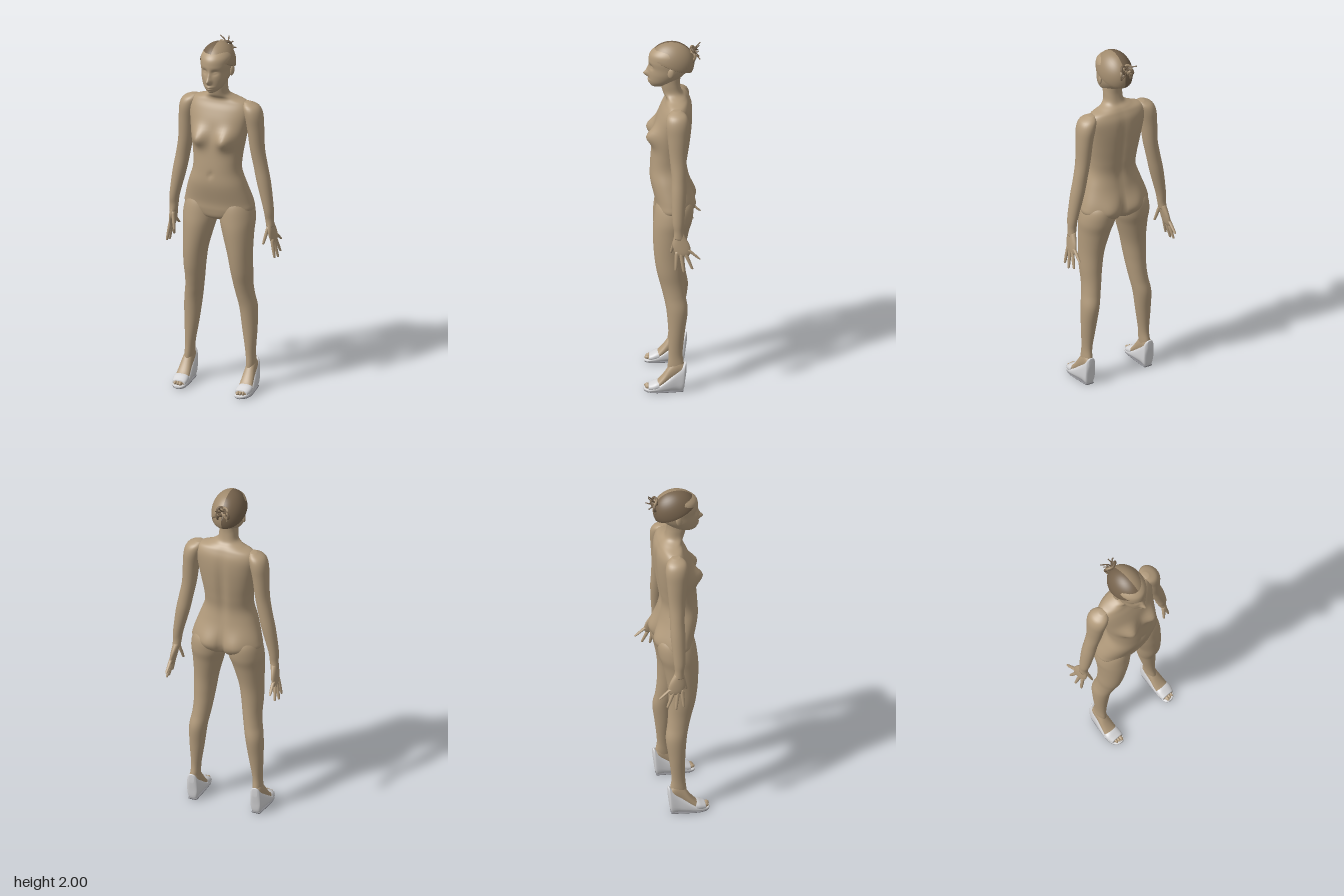
import * as THREE from 'three';

const mat = (name, color, side = THREE.FrontSide) => {
  const m = new THREE.MeshStandardMaterial({ color, side });
  m.name = name;
  return m;
};

// Catmull-Rom subdivision of a list of cross-sections
function refine(rows, sub) {
  const out = [], at = i => rows[Math.max(0, Math.min(rows.length - 1, i))];
  for (let i = 0; i < rows.length - 1; i++) {
    for (let k = 0; k < sub; k++) {
      const t = k / sub;
      out.push(rows[i].map((b, c) => {
        const a = at(i - 1)[c], d = at(i + 1)[c], e = at(i + 2)[c];
        return b + 0.5 * t * (d - a + t * (2 * a - 5 * b + 4 * d - e + t * (3 * (b - d) + e - a)));
      }));
    }
  }
  out.push(rows[rows.length - 1]);
  return out;
}

// Closed loft upward through sections [y, centreX, halfWidth, zBack, zFront]
function loft(rows, { seg = 24, sub = 4, power = 2, bump = null } = {}) {
  const rings = refine(rows, sub), pos = [], idx = [];
  const sp = v => Math.sign(v) * Math.pow(Math.abs(v), 2 / power);
  for (const [y, cx, rx, z0, z1] of rings) {
    for (let j = 0; j < seg; j++) {
      const a = j / seg * Math.PI * 2;
      const x = sp(Math.sin(a)) * rx;
      let z = (z0 + z1) / 2 + sp(Math.cos(a)) * (z1 - z0) / 2;
      if (bump) z += bump(x, y, Math.cos(a));
      pos.push(cx + x, y, z);
    }
  }
  const n = rings.length;
  for (let i = 0; i < n - 1; i++) {
    for (let j = 0; j < seg; j++) {
      const a = i * seg + j, b = i * seg + (j + 1) % seg;
      idx.push(a, b, b + seg, a, b + seg, a + seg);
    }
  }
  for (const [row, r] of [[rings[0], 0], [rings[n - 1], n - 1]]) {
    const c = pos.length / 3;
    pos.push(row[1], row[0], (row[3] + row[4]) / 2);
    for (let j = 0; j < seg; j++) {
      const a = r * seg + j, b = r * seg + (j + 1) % seg;
      if (r) idx.push(a, b, c); else idx.push(b, a, c);
    }
  }
  const g = new THREE.BufferGeometry();
  g.setAttribute('position', new THREE.Float32BufferAttribute(pos, 3));
  g.setIndex(idx);
  g.computeVertexNormals();
  return g;
}

// Loft along z through sections [z, centreX, halfWidth, bottom, top]
const loftZ = (rows, opt) =>
  loft(rows.map(([z, x, r, b, t]) => [z, x, r, -t, -b]), opt).rotateX(Math.PI / 2);

const bell = (x, y, cx, cy, sx, sy) => Math.exp(-(((x - cx) / sx) ** 2) - ((y - cy) / sy) ** 2);

function torsoBump(x, y, front) {
  const ax = Math.abs(x);
  if (front > 0) {
    return front * (0.056 * bell(ax, y, 0.082, 1.47, 0.05, 0.05) - 0.008 * bell(x, y, 0, 1.265, 0.012, 0.018));
  }
  return front * (0.022 * bell(ax, y, 0.085, 1.07, 0.06, 0.07)
    - 0.02 * bell(x, y, 0, 1.05, 0.018, 0.08) - 0.012 * bell(x, y, 0, 1.42, 0.025, 0.2));
}

function faceBump(x, y, front) {
  if (front < 0) return 0;
  const ax = Math.abs(x);
  return 0.026 * bell(x, y, 0, 1.815, 0.013, 0.016) + 0.012 * bell(x, y, 0, 1.84, 0.01, 0.025)
    - 0.012 * bell(ax, y, 0.03, 1.865, 0.016, 0.014) + 0.005 * bell(ax, y, 0.03, 1.862, 0.01, 0.006)
    + 0.009 * bell(x, y, 0, 1.781, 0.02, 0.006) + 0.008 * bell(x, y, 0, 1.768, 0.017, 0.006)
    + 0.004 * bell(x, y, 0, 1.75, 0.02, 0.01);
}

export function createModel() {
  const model = new THREE.Group();
  const skin = mat('skin', 0xb29b7c);
  const hairDark = mat('darkHair', 0x75624c, THREE.DoubleSide);
  const hairLight = mat('lightHair', 0xa08a6d, THREE.DoubleSide);
  const white = mat('shoeWhite', 0xd4d4d6);
  const grey = mat('soleGrey', 0x85858a);
  const add = (name, geo, m, parent = model) => {
    const mesh = new THREE.Mesh(geo, m);
    mesh.name = name;
    parent.add(mesh);
    return mesh;
  };

  // Torso and neck
  add('torso', loft([
    [0.99, 0, 0.05, -0.05, 0.06], [1.01, 0, 0.13, -0.085, 0.085], [1.05, 0, 0.195, -0.108, 0.095],
    [1.1, 0, 0.193, -0.11, 0.1], [1.2, 0, 0.162, -0.088, 0.122], [1.28, 0, 0.136, -0.078, 0.122],
    [1.36, 0, 0.138, -0.088, 0.116], [1.45, 0, 0.152, -0.1, 0.106], [1.55, 0, 0.168, -0.108, 0.088],
    [1.62, 0, 0.175, -0.105, 0.062], [1.662, 0, 0.155, -0.09, 0.04], [1.685, 0, 0.095, -0.075, 0.036],
    [1.71, 0, 0.056, -0.052, 0.052], [1.76, 0, 0.05, -0.042, 0.065], [1.81, 0, 0.05, -0.045, 0.07],
  ], { seg: 72, sub: 6, power: 2.25, bump: torsoBump }), skin);

  // Head with face relief
  add('head', loft([
    [1.742, 0, 0.018, 0.06, 0.108], [1.755, 0, 0.038, 0.015, 0.12], [1.78, 0, 0.058, -0.025, 0.127],
    [1.82, 0, 0.074, -0.07, 0.129], [1.86, 0, 0.081, -0.098, 0.127], [1.9, 0, 0.085, -0.1, 0.13],
    [1.94, 0, 0.08, -0.085, 0.12], [1.972, 0, 0.055, -0.05, 0.08], [1.985, 0, 0.02, 0, 0.03],
  ], { seg: 96, sub: 10, bump: faceBump }).translate(-0.005, 0, 0), skin);
  for (const s of [-1, 1]) {
    const ear = add('ear', new THREE.SphereGeometry(1, 14, 10), skin);
    ear.scale.set(0.009, 0.03, 0.018);
    ear.position.set(-0.005 + s * 0.084, 1.852, 0.008);
    ear.rotation.set(-0.2, s * -0.3, 0);
  }

  // Hair cap, parted down the middle
  for (const [name, start, m] of [['hairRight', -Math.PI / 2, hairDark], ['hairLeft', Math.PI / 2, hairLight]]) {
    const cap = new THREE.SphereGeometry(1, 28, 24, start, Math.PI, 0, Math.PI);
    const p = cap.attributes.position;
    // flatten everything below a tilted hairline up to the rim
    for (let i = 0; i < p.count; i++) {
      if (p.getY(i) < 0) p.setXYZ(i, p.getX(i) * 0.98, p.getY(i) * 0.12, p.getZ(i) * 0.98);
    }
    cap.rotateX(-0.42).scale(0.094, 0.12, 0.125).translate(-0.006, 1.88, 0.006);
    cap.computeVertexNormals();
    add(name, cap, m);
  }

  // Bun of loops with loose strands
  const bun = new THREE.Group();
  bun.name = 'hairBun';
  model.add(bun);
  for (let i = 0; i < 6; i++) {
    const a = i / 6 * Math.PI * 2;
    const loop = add('bunLoop', new THREE.TorusGeometry(0.02, 0.007, 8, 18), i % 2 ? hairDark : hairLight, bun);
    loop.position.set(-0.012 + 0.022 * Math.cos(a), 1.925 + 0.025 * Math.sin(a), -0.11);
    loop.rotation.set(0.5 * Math.sin(a), 0.7 * Math.cos(a), a);
    const reach = 0.035 + 0.012 * (i % 3);
    const path = new THREE.CatmullRomCurve3([
      new THREE.Vector3(-0.012, 1.93, -0.1),
      new THREE.Vector3(-0.012 + 0.02 * Math.cos(a), 1.945 + 0.02 * Math.sin(a), -0.125),
      new THREE.Vector3(-0.012 + reach * Math.cos(a + 0.4), 1.945 + 0.8 * reach * Math.sin(a + 0.4), -0.14 - 0.005 * (i % 3)),
    ]);
    add('looseStrand', new THREE.TubeGeometry(path, 10, 0.0035, 5), hairDark, bun);
  }

  for (const s of [-1, 1]) {
    const side = s < 0 ? 'right' : 'left';
    const flip = rows => rows.map(([y, x, ...rest]) => [y, s * x, ...rest]);

    // Arm, palm and fingers
    add(side + 'Arm', loft(flip([
      [0.96, 0.286, 0.021, -0.066, -0.008], [1.0, 0.282, 0.024, -0.06, -0.01], [1.06, 0.277, 0.028, -0.065, 0],
      [1.2, 0.25, 0.038, -0.075, 0.005], [1.3, 0.23, 0.039, -0.075, 0.005], [1.4, 0.212, 0.04, -0.077, 0.014],
      [1.52, 0.202, 0.045, -0.085, 0.026], [1.6, 0.191, 0.05, -0.09, 0.035], [1.645, 0.176, 0.044, -0.078, 0.026],
      [1.668, 0.155, 0.018, -0.045, -0.005],
    ]), { seg: 28, sub: 5 }), skin);
    add(side + 'Palm', loft(flip([
      [0.865, 0.3, 0.01, -0.09, -0.022], [0.885, 0.298, 0.014, -0.1, -0.012],
      [0.93, 0.292, 0.017, -0.092, -0.002], [0.985, 0.283, 0.02, -0.06, -0.012],
    ]), { seg: 20 }), skin);
    // tip x, y, z then base x, y, z
    for (const [tx, ty, tz, bx, by, bz] of [
      [0.318, 0.785, -0.018, 0.3, 0.89, -0.025], [0.32, 0.775, -0.062, 0.3, 0.885, -0.046],
      [0.314, 0.792, -0.108, 0.3, 0.885, -0.068], [0.301, 0.845, -0.148, 0.298, 0.9, -0.085],
      [0.263, 0.865, 0.008, 0.282, 0.96, -0.018],
    ]) {
      const row = (t, r) => {
        const z = bz + (tz - bz) * t;
        return [by + (ty - by) * t, s * (bx + (tx - bx) * t), r, z - r * 1.1, z + r * 1.1];
      };
      add(side + 'Finger', loft([row(1, 0.003), row(0.95, 0.0065), row(0.5, 0.009), row(0, 0.01)], { seg: 10, sub: 3 }), skin);
    }

    // Leg
    add(side + 'Leg', loft(flip([
      [0.09, 0.184, 0.024, -0.06, 0.03], [0.15, 0.182, 0.026, -0.064, 0.026], [0.22, 0.178, 0.027, -0.055, 0.02],
      [0.35, 0.171, 0.041, -0.068, 0.022], [0.47, 0.163, 0.049, -0.083, 0.032], [0.55, 0.15, 0.05, -0.072, 0.048],
      [0.62, 0.142, 0.053, -0.065, 0.066], [0.7, 0.138, 0.06, -0.062, 0.086], [0.8, 0.13, 0.068, -0.066, 0.1],
      [0.92, 0.116, 0.086, -0.088, 0.106], [1.0, 0.107, 0.098, -0.11, 0.101], [1.08, 0.1, 0.088, -0.11, 0.088],
      [1.14, 0.09, 0.055, -0.07, 0.06],
    ]), { seg: 36, sub: 6 }), skin);

    // Foot and toes
    add(side + 'Foot', loftZ(flip([
      [-0.062, 0.184, 0.022, 0.1, 0.16], [-0.03, 0.184, 0.027, 0.08, 0.185], [0.01, 0.185, 0.03, 0.05, 0.158],
      [0.05, 0.186, 0.036, 0.03, 0.1], [0.085, 0.187, 0.038, 0.015, 0.06], [0.13, 0.184, 0.03, 0.012, 0.036],
    ]), { seg: 24 }), skin);
    for (let i = 0; i < 3; i++) {
      const toe = add(side + 'Toe', new THREE.SphereGeometry(1, 12, 8), skin);
      toe.scale.set(0.01 - i * 0.0015, 0.011, 0.018);
      toe.position.set(s * (0.17 + i * 0.015), 0.027, 0.135 - i * 0.003);
    }

    // Wedge shoe: solid heel, toe strap and sole
    add(side + 'ShoeWedge', loftZ(flip([
      [-0.077, 0.184, 0.014, 0.12, 0.168], [-0.07, 0.184, 0.026, 0.07, 0.17], [-0.058, 0.184, 0.031, 0.004, 0.158],
      [-0.02, 0.185, 0.033, 0.004, 0.122], [0.03, 0.187, 0.039, 0.004, 0.078], [0.08, 0.188, 0.043, 0.004, 0.042],
      [0.12, 0.185, 0.039, 0.004, 0.024], [0.145, 0.181, 0.028, 0.004, 0.02], [0.155, 0.179, 0.012, 0.005, 0.017],
    ]), { seg: 28, power: 2.8 }), white);
    add(side + 'ShoeStrap', loftZ(flip([
      [0.07, 0.188, 0.041, 0.012, 0.066], [0.09, 0.188, 0.043, 0.01, 0.061],
      [0.11, 0.186, 0.041, 0.008, 0.051], [0.128, 0.184, 0.036, 0.008, 0.042],
    ]), { seg: 28, power: 2.3 }), white);
    add(side + 'Sole', loftZ(flip([
      [-0.06, 0.184, 0.024, 0, 0.008], [-0.02, 0.185, 0.03, 0, 0.008], [0.08, 0.188, 0.04, 0, 0.008],
      [0.13, 0.184, 0.034, 0, 0.008], [0.152, 0.18, 0.012, 0, 0.008],
    ]), { seg: 20, power: 4 }), grey);
  }
  return model;
}
